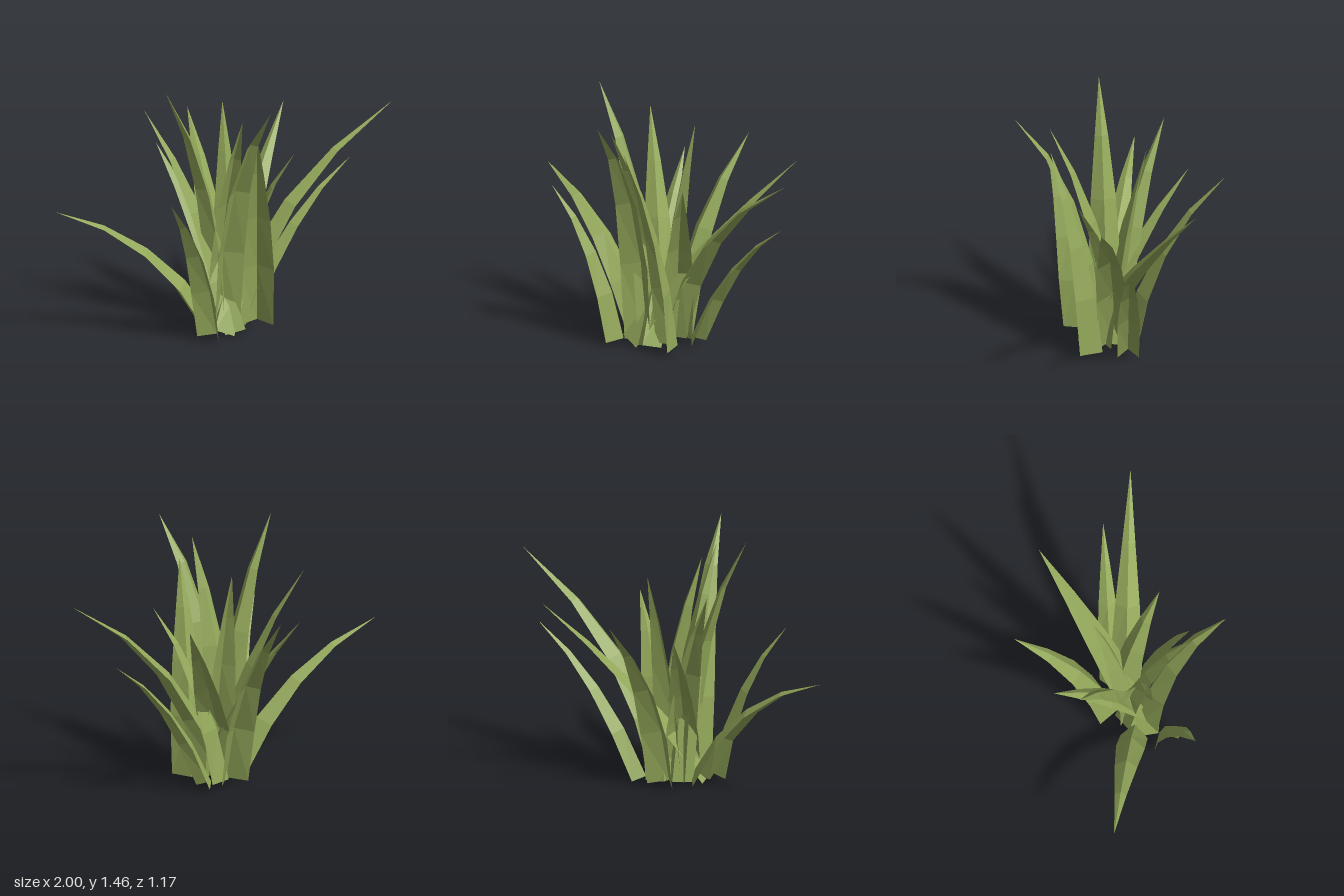
import * as THREE from 'three';

const leafGreen = new THREE.MeshStandardMaterial({
  color: 0x93a85a, flatShading: true, side: THREE.DoubleSide });
leafGreen.name = 'leaf green';

// share of the full width, and height of the midrib, at each of the five rows of a blade
const TAPER = [0.95, 1, 0.78, 0.42, 0];
const RIB = [0.8, 0.55, 0.4, 0.35, 0];

// Curved blade folded along its middle, narrowing to a point.
// h and v place the middle of the curve between base and tip (sideways, upwards).
function bladeGeometry(base, tip, width, h, v) {
  const p0 = new THREE.Vector3(...base);
  const p2 = new THREE.Vector3(...tip);
  const mid = new THREE.Vector3(
    p0.x + (p2.x - p0.x) * h, p0.y + (p2.y - p0.y) * v, p0.z + (p2.z - p0.z) * h);
  const control = mid.multiplyScalar(2).addScaledVector(p0, -0.5).addScaledVector(p2, -0.5);
  const curve = new THREE.QuadraticBezierCurve3(p0, control, p2);
  const across = new THREE.Vector3(p2.z - p0.z, 0, p0.x - p2.x).normalize();

  const positions = [];
  TAPER.forEach((share, i) => {
    const t = i / (TAPER.length - 1);
    const centre = curve.getPoint(t);
    const inward = curve.getTangent(t).cross(across).normalize();
    const half = width * share / 2;
    // edge, raised midrib, edge
    for (const [a, n] of [[1, -0.25], [0, RIB[i]], [-1, -0.25]]) {
      const p = centre.clone().addScaledVector(across, a * half).addScaledVector(inward, n * half);
      positions.push(p.x, Math.max(0, p.y), p.z);
    }
  });

  const index = [];
  for (let i = 0; i < TAPER.length - 1; i++) {
    for (let j = 0; j < 2; j++) {
      const a = i * 3 + j;
      index.push(a, a + 1, a + 4);
      if (i < TAPER.length - 2) index.push(a, a + 4, a + 3);
    }
  }
  const geometry = new THREE.BufferGeometry();
  geometry.setAttribute('position', new THREE.Float32BufferAttribute(positions, 3));
  geometry.setIndex(index);
  geometry.computeVertexNormals();
  return geometry;
}

export function createModel() {
  const group = new THREE.Group();
  group.name = 'grassTuft';

  const add = (name, base, tip, width = 0.18, h = 0.33, v = 0.56) => {
    const mesh = new THREE.Mesh(bladeGeometry(base, tip, width, h, v), leafGreen);
    mesh.name = name;
    group.add(mesh);
  };

  // blades leaning back, some rooted at the front of the tuft
  add('backBlade', [0, 0.02, -0.08], [0, 1.08, -0.585], 0.18, 0.32, 0.55);
  add('backLeftBlade', [-0.09, 0.01, 0.18], [0.53, 1.09, -0.48], 0.18, 0.46, 0.53);
  add('backRightBlade', [0.01, 0.02, 0.06], [-0.39, 1.225, -0.2], 0.18, 0.38, 0.54);
  add('lowBackRightBlade', [0.02, 0.01, 0.18], [-0.27, 0.98, -0.35], 0.17, 0.44, 0.54);
  add('innerBackBlade', [0.02, 0.02, 0.05], [0.05, 1.25, -0.15], 0.17, 0.4, 0.54);

  // blades leaning to the sides
  add('lowLeftBlade', [0.17, 0.02, -0.06], [0.8, 0.84, -0.14], 0.125, 0.43, 0.59);
  add('longLeftBlade', [0.07, 0.02, 0.03], [1, 1.19, 0], 0.175, 0.33, 0.56);
  add('longRightBlade', [-0.13, 0.02, 0.09], [-1, 0.78, 0.03], 0.16, 0.41, 0.63);
  add('tallRightBlade', [-0.05, 0.02, 0.09], [-0.4, 1.455, 0.165], 0.18, 0.28, 0.56);

  // blades leaning forward
  add('frontLeftBlade', [0.06, 0.02, -0.01], [0.35, 1.02, 0.2], 0.17, 0.35, 0.56);
  add('tallFrontBlade', [-0.05, 0.02, 0.17], [0.07, 1.41, 0.585], 0.18, 0.28, 0.6);
  add('frontSideBlade', [0.145, 0.03, 0.15], [0.06, 1.21, 0.385], 0.19, 0.3, 0.54);
  add('innerFrontBlade', [-0.03, 0.02, 0.04], [-0.03, 1.31, 0.4], 0.17, 0.35, 0.56);
  add('frontRightBlade', [-0.17, 0.02, 0.26], [-0.47, 0.89, 0.45], 0.16, 0.35, 0.57);

  return group;
}
